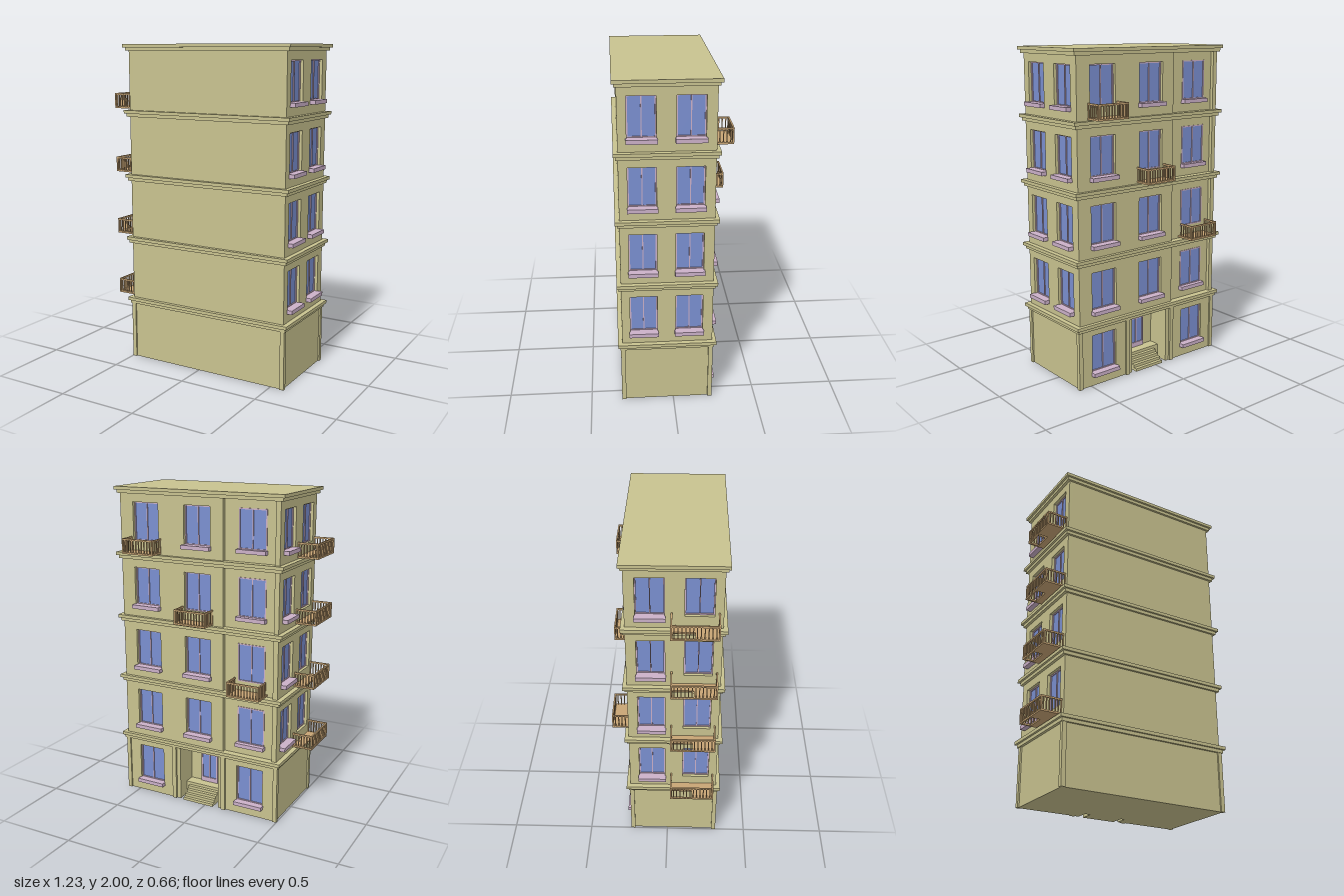
import * as THREE from 'three';

const mat = (color) => new THREE.MeshStandardMaterial({ color });
const wallMat = mat(0xc8c28f), frameMat = mat(0xcbb0c8), glassMat = mat(0x7a8fd0), woodMat = mat(0xc8a575);

function add(parent, name, geometry, material) {
  const mesh = new THREE.Mesh(geometry, material);
  mesh.name = name;
  parent.add(mesh);
  return mesh;
}

// Box given by its minimum and maximum on each axis
function box(parent, name, material, x0, x1, y0, y1, z0, z1) {
  const mesh = add(parent, name, new THREE.BoxGeometry(x1 - x0, y1 - y0, z1 - z0), material);
  mesh.position.set((x0 + x1) / 2, (y0 + y1) / 2, (z0 + z1) / 2);
  return mesh;
}

function rectPoints(x0, x1, y0, y1) {
  return [[x0, y0], [x1, y0], [x1, y1], [x0, y1]].map(([x, y]) => new THREE.Vector2(x, y));
}

function plate(outer, holes, depth) {
  const shape = new THREE.Shape(outer);
  holes.forEach((h) => shape.holes.push(new THREE.Path(h)));
  return new THREE.ExtrudeGeometry(shape, { depth, bevelEnabled: false });
}

function place(parent, name, x, y, z, turn) {
  const group = new THREE.Group();
  group.name = name;
  group.position.set(x, y, z);
  group.rotation.y = turn;
  parent.add(group);
  return group;
}

const WIN_H = 0.235;

// Two-pane window standing on the local z = 0 plane; y is its lower edge
function addWindow(parent, x, y, w, wallDepth, sill) {
  const g = place(parent, 'window', x, y, 0, 0);
  const h = w / 2, t = 0.007;
  const panes = [rectPoints(-h + t, -0.003, t, WIN_H - t), rectPoints(0.003, h - t, t, WIN_H - t)];
  add(g, 'windowFrame', plate(rectPoints(-h, h, 0, WIN_H), panes, 0.012), frameMat);
  box(g, 'windowGlass', glassMat, -h + t, h - t, t, WIN_H - t, -0.002, 0.006);
  if (sill) box(g, 'windowSill', frameMat, -h - 0.006, h + 0.006, -0.022, 0.002, 0, wallDepth + 0.033);
}

// Wall layer with window openings; each window is { x, sill }
function facade(parent, x0, x1, height, depth, windows, w, y) {
  const holes = windows.map((o) => rectPoints(o.x - w / 2, o.x + w / 2, y, y + WIN_H));
  add(parent, 'wall', plate(rectPoints(x0, x1, 0, height), holes, depth), wallMat);
  windows.forEach((o) => addWindow(parent, o.x, y, w, depth, o.sill));
}

// Balcony projecting along local +z, with an optional hatch in its floor
function balcony(parent, x, y, z, turn, w, d, hatch) {
  const g = place(parent, 'balcony', x, y, z, turn);
  const h = w / 2, top = 0.095, r = 0.009;
  const floor = plate(rectPoints(-h, h, -0.03, d), hatch ? [hatch] : [], 0.01);
  floor.rotateX(Math.PI / 2);
  add(g, 'balconyFloor', floor, woodMat).position.y = 0.012;
  box(g, 'frontRail', woodMat, -h, h, top - 0.01, top, d - r, d);
  for (const s of [-1, 1]) {
    const a = s * h, b = s * (h - r);
    box(g, 'sideRail', woodMat, Math.min(a, b), Math.max(a, b), top - 0.01, top, 0, d - r);
    box(g, 'cornerPost', woodMat, Math.min(a, b), Math.max(a, b), 0.01, top - 0.01, d - r, d);
  }
  const baluster = (bx, bz) =>
    box(g, 'baluster', woodMat, bx - 0.003, bx + 0.003, 0.01, top - 0.008, bz - 0.003, bz + 0.003);
  const nx = Math.round(w / 0.02), nz = Math.round(d / 0.02);
  for (let i = 1; i < nx; i++) baluster(-h + (w * i) / nx, d - r / 2);
  for (let i = 0; i < nz; i++) {
    for (const s of [-1, 1]) baluster(s * (h - r / 2), 0.004 + ((d - 0.004) * i) / nz);
  }
}

export function createModel() {
  const model = new THREE.Group();
  model.name = 'apartmentBuilding';

  // Wall lines and the core behind the wall layers
  const L = -0.49, R = 0.58, B = -0.232, F = 0.305, T = 0.03;
  const bays = [-0.31, 0.045, 0.40];
  const edgeA = -0.13, edgeB = 0.225;
  const balconyBay = { 2: 0, 3: 1, 4: 2 };

  // Upper storeys
  for (let floor = 1; floor <= 4; floor++) {
    const y = floor * 0.4;
    const storey = place(model, 'storey', 0, 0, 0, 0);
    box(storey, 'core', wallMat, L + T, R - T, y, y + 0.36, B + T, F);

    // Right-hand (-x) and left-hand (+x) ends, two windows each
    const west = place(storey, 'balconyEndWall', L + T, y, 0, -Math.PI / 2);
    facade(west, B, F, 0.36, T, [{ x: -0.093, sill: true }, { x: 0.175, sill: false }], 0.16, 0.075);
    const east = place(storey, 'plainEndWall', R - T, y, 0, Math.PI / 2);
    facade(east, -F, -B, 0.36, T, [{ x: -0.175, sill: true }, { x: 0.093, sill: true }], 0.16, 0.075);

    // Back wall: two flush bays and one set back between piers
    const back = place(storey, 'backWall', 0, y, B + T, Math.PI);
    const opening = (i) => ({ x: -bays[i], sill: balconyBay[floor] !== i });
    facade(back, -R + T, -edgeA, 0.36, T, [opening(1), opening(2)], 0.178, 0.075);
    facade(back, -edgeA, -L - T, 0.36, 0.008, [opening(0)], 0.178, 0.075);

    balcony(storey, L, y + 0.005, 0.1525, -Math.PI / 2, 0.265, 0.13, rectPoints(-0.12, 0, 0.065, 0.12));
    if (floor in balconyBay) {
      balcony(storey, bays[balconyBay[floor]], y + 0.005, B, Math.PI, 0.213, 0.103);
    }
  }

  // Two-step cornice over every storey
  for (let i = 1; i <= 5; i++) {
    const y = i * 0.4;
    box(model, 'corniceLower', wallMat, -0.507, 0.597, y - 0.04, y - 0.02, -0.243, 0.318);
    box(model, 'corniceUpper', wallMat, -0.52, 0.61, y - 0.02, y, -0.255, 0.33);
  }

  // Ground storey with a porch notch cut into its plan
  const ground = place(model, 'groundStorey', 0, 0, 0, 0);
  const p0 = -0.09, p1 = 0.185, porchZ = -0.08;
  const plan = [
    [L, -F], [R, -F], [R, -B - T], [p1, -B - T], [p1, -porchZ], [p0, -porchZ], [p0, -B - T], [L, -B - T],
  ].map(([x, y]) => new THREE.Vector2(x, y));
  const core = plate(plan, [], 0.36);
  core.rotateX(-Math.PI / 2);
  add(ground, 'core', core, wallMat);
  const groundBack = place(ground, 'backWall', 0, 0, B + T, Math.PI);
  facade(groundBack, -R, -p1, 0.36, T - 0.005, [{ x: -bays[2], sill: true }], 0.178, 0.085);
  facade(groundBack, -p0, -L, 0.36, T - 0.005, [{ x: -bays[0], sill: true }], 0.178, 0.085);

  // Corner pilasters and the piers beside the porch
  for (const x of [-0.5, 0.563]) {
    for (const z of [-0.236, 0.288]) {
      box(ground, 'cornerPilaster', wallMat, x, x + 0.027, 0, 0.36, z, z + 0.026);
    }
  }
  for (const x of [edgeA, edgeB]) {
    box(ground, 'porchPier', wallMat, x - 0.014, x + 0.014, 0, 0.36, -0.24, -0.2);
  }

  // Porch: landing, steps and entrance door
  box(ground, 'landing', wallMat, p0, p1, 0, 0.09, -0.15, porchZ);
  for (let i = 0; i < 4; i++) {
    box(ground, 'step', wallMat, -0.055, 0.16, 0, 0.018 * (i + 1), -0.238 + i * 0.022, -0.15);
  }
  const door = place(ground, 'entranceDoor', 0.045, 0.09, porchZ, Math.PI);
  const panes = [rectPoints(-0.05, -0.004, 0.03, 0.19), rectPoints(0.004, 0.05, 0.03, 0.19)];
  add(door, 'doorFrame', plate(rectPoints(-0.06, 0.06, 0, 0.2), panes, 0.012), frameMat);
  box(door, 'doorGlass', glassMat, -0.055, 0.055, 0.02, 0.195, -0.002, 0.006);

  return model;
}
